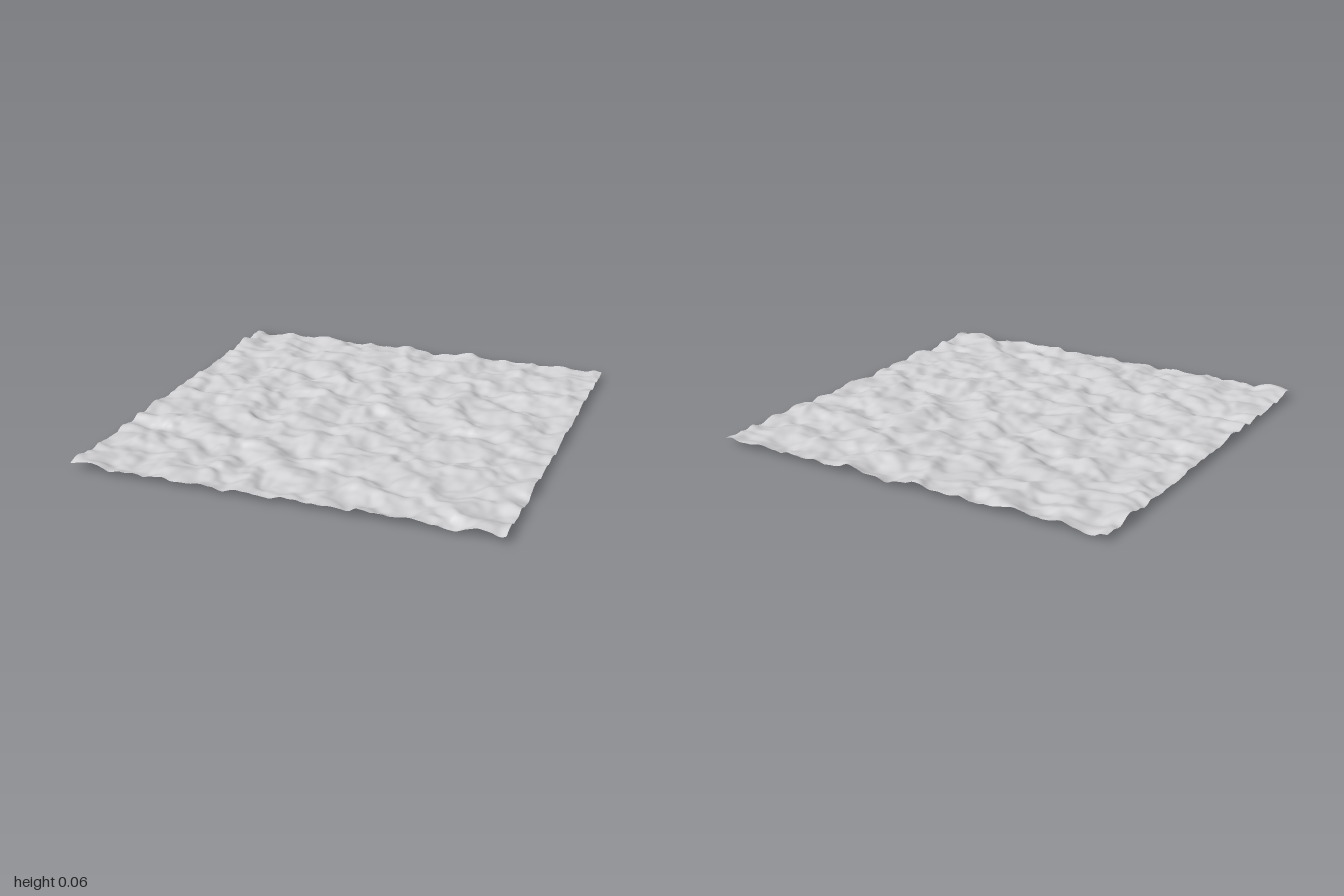
import * as THREE from 'three';

const SIZE = 2, SEGMENTS = 180, HEIGHT = 0.06;

// Seeded hash giving a repeatable gradient angle for each lattice point
function angleAt(ix, iz, seed) {
  let h = Math.imul(ix, 374761393) ^ Math.imul(iz, 668265263) ^ Math.imul(seed, 974634777);
  h = Math.imul(h ^ (h >>> 13), 1274126177);
  h = Math.imul(h ^ (h >>> 16), 2246822519);
  return ((h ^ (h >>> 15)) >>> 0) / 4294967296 * Math.PI * 2;
}

// Smooth gradient noise
function noise(x, z, seed) {
  const ix = Math.floor(x), iz = Math.floor(z), fx = x - ix, fz = z - iz;
  const fade = (t) => t * t * t * (t * (t * 6 - 15) + 10);
  const corner = (i, j) => {
    const a = angleAt(ix + i, iz + j, seed);
    return Math.cos(a) * (fx - i) + Math.sin(a) * (fz - j);
  };
  const u = fade(fx), v = fade(fz);
  return THREE.MathUtils.lerp(
    THREE.MathUtils.lerp(corner(0, 0), corner(1, 0), u),
    THREE.MathUtils.lerp(corner(0, 1), corner(1, 1), u), v);
}

// Distinct hollows: x, z, radius, depth
const hollows = [
  [-0.28, -0.05, 0.08, 0.5], [0.75, 0.28, 0.07, 0.35],
  [-0.48, -0.28, 0.1, 0.3], [0.3, -0.08, 0.1, 0.3],
];

// Rolling lumps, bent sideways by a second noise, with finer ripples on top
function relief(x, z) {
  const wx = x + 0.05 * noise(x * 5, z * 5, 11);
  const wz = z + 0.05 * noise(x * 5, z * 5, 12);
  let h = noise(wx * 6, wz * 7, 1) + 0.4 * noise(wx * 13, wz * 14, 2) + 0.1 * noise(wx * 27, wz * 27, 3);
  for (const [cx, cz, r, depth] of hollows) {
    h -= depth * Math.exp(-((x - cx) ** 2 + (z - cz) ** 2) / (r * r) * 2);
  }
  return h;
}

export function createModel() {
  const model = new THREE.Group();
  model.name = 'terrain';

  const stone = new THREE.MeshStandardMaterial({ color: 0xd0d0d3, side: THREE.DoubleSide });
  stone.name = 'light grey';

  // Flat square sheet, lifted by the relief and fitted to the full height
  const geometry = new THREE.PlaneGeometry(SIZE, SIZE, SEGMENTS, SEGMENTS).rotateX(-Math.PI / 2);
  const pos = geometry.attributes.position;
  let low = Infinity, high = -Infinity;
  for (let i = 0; i < pos.count; i++) {
    const h = relief(pos.getX(i), pos.getZ(i));
    pos.setY(i, h);
    low = Math.min(low, h);
    high = Math.max(high, h);
  }
  for (let i = 0; i < pos.count; i++) {
    pos.setY(i, (pos.getY(i) - low) / (high - low) * HEIGHT);
  }
  geometry.computeVertexNormals();

  const ground = new THREE.Mesh(geometry, stone);
  ground.name = 'roughGround';
  model.add(ground);
  return model;
}
